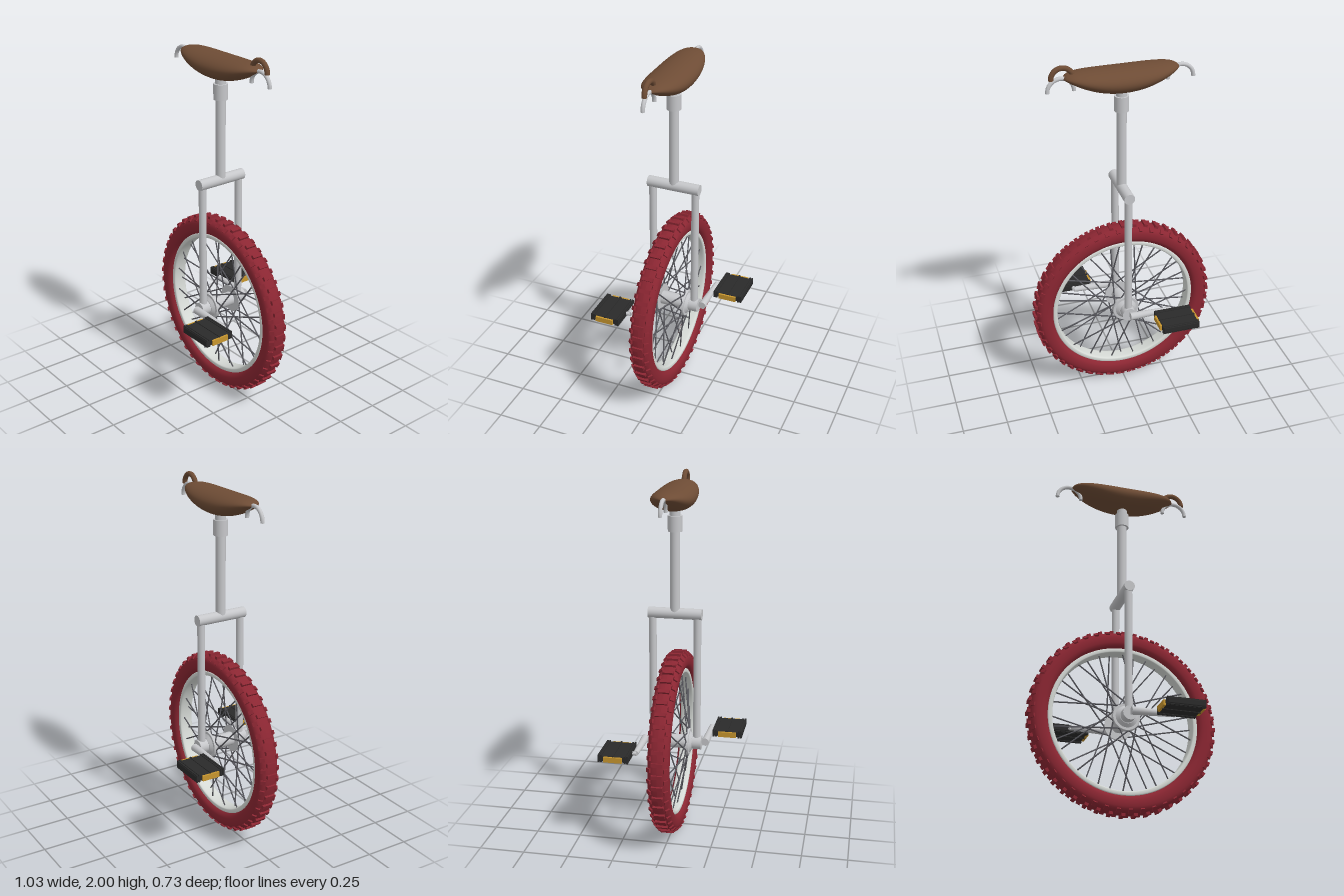
import * as THREE from 'three';
import { mergeVertices } from 'three/addons/utils/BufferGeometryUtils.js';
import { RoundedBoxGeometry } from 'three/addons/geometries/RoundedBoxGeometry.js';

const mat = (name, color) => {
  const m = new THREE.MeshStandardMaterial({ color });
  m.name = name;
  return m;
};

export function createModel() {
  const metal = mat('silver metal', 0xc6c7ca);
  const rimMetal = mat('pale rim metal', 0xd6dad6);
  const spokeMetal = mat('dark spoke steel', 0x5a5a60);
  const rubber = mat('red rubber', 0x8b2632);
  const leather = mat('brown leather', 0x6e4c35);
  const black = mat('black plastic', 0x2a2a2a);
  const gold = mat('gold reflector', 0xc8962e);

  const model = new THREE.Group();
  model.name = 'unicycle';
  const AXLE = 0.518;
  const V = (x, y, z) => new THREE.Vector3(x, y, z);

  function add(parent, name, geometry, material, x = 0, y = 0, z = 0) {
    const mesh = new THREE.Mesh(geometry, material);
    mesh.name = name;
    mesh.position.set(x, y, z);
    parent.add(mesh);
    return mesh;
  }
  // Round bar from a to b, with radius ra at a and rb at b
  function rod(parent, name, a, b, ra, rb, material, sides = 24) {
    const dir = b.clone().sub(a);
    const mesh = add(parent, name, new THREE.CylinderGeometry(rb, ra, dir.length(), sides), material);
    mesh.position.copy(a).addScaledVector(dir, 0.5);
    mesh.quaternion.setFromUnitVectors(V(0, 1, 0), dir.normalize());
    return mesh;
  }
  // Ring around z with a rounded-box section
  function ring(parent, name, radius, halfDepth, halfWidth, power, material) {
    const bulge = (v) => Math.sign(v) * Math.abs(v) ** (2 / power);
    const points = [];
    for (let i = 0; i <= 24; i++) {
      const a = (i / 24) * Math.PI * 2;
      points.push(new THREE.Vector2(radius + halfDepth * bulge(Math.cos(a)), halfWidth * bulge(Math.sin(a))));
    }
    const geometry = new THREE.LatheGeometry(points, 96);
    geometry.rotateX(Math.PI / 2);
    return add(parent, name, geometry, material);
  }

  // Wheel
  const wheel = new THREE.Group();
  wheel.name = 'wheel';
  wheel.position.y = AXLE;
  model.add(wheel);
  ring(wheel, 'tyre', 0.456, 0.05, 0.058, 2.5, rubber);
  ring(wheel, 'rim', 0.4, 0.015, 0.04, 4, rimMetal);

  // Tread: centre blocks with staggered shoulder blocks
  const KNOBS = 48;
  const centreBlock = new THREE.BoxGeometry(0.02, 0.028, 0.06);
  const shoulderBlock = new THREE.BoxGeometry(0.022, 0.018, 0.026);
  for (let i = 0; i < KNOBS; i++) {
    const a = (i / KNOBS) * Math.PI * 2;
    const centre = add(wheel, 'treadBlock', centreBlock, rubber, Math.sin(a) * 0.503, Math.cos(a) * 0.503, 0);
    centre.rotation.z = -a;
    const b = a + Math.PI / KNOBS;
    for (const s of [-1, 1]) {
      const side = add(wheel, 'shoulderBlock', shoulderBlock, rubber, Math.sin(b) * 0.493, Math.cos(b) * 0.493, s * 0.043);
      side.rotation.set(s * 0.75, 0, -b, 'ZYX');
    }
  }

  // Crossed spokes, alternating between the hub flanges
  const SPOKES = 36;
  for (let i = 0; i < SPOKES; i++) {
    const side = i % 2 ? 1 : -1;
    const lean = (i >> 1) % 2 ? 1 : -1;
    const a = (i / SPOKES) * Math.PI * 2;
    const h = a + lean * 1.1;
    rod(wheel, 'spoke', V(Math.cos(h) * 0.066, Math.sin(h) * 0.066, side * 0.078),
      V(Math.cos(a) * 0.392, Math.sin(a) * 0.392, side * 0.012), 0.004, 0.004, spokeMetal, 6);
  }

  // Hub
  rod(wheel, 'hubShell', V(0, 0, -0.152), V(0, 0, 0.152), 0.039, 0.039, metal, 32);
  for (const s of [-1, 1]) {
    rod(wheel, 'hubFlange', V(0, 0, s * 0.068), V(0, 0, s * 0.086), 0.078, 0.074, metal, 32);
    rod(wheel, 'hubCone', V(0, 0, s * 0.086), V(0, 0, s * 0.1), 0.06, 0.042, metal, 32);
  }

  // Fork and seat post
  const frame = new THREE.Group();
  frame.name = 'frame';
  model.add(frame);
  for (const s of [-1, 1]) {
    rod(frame, 'forkLeg', V(0, AXLE, s * 0.124), V(0, 1.262, s * 0.124), 0.021, 0.021, metal);
  }
  rod(frame, 'forkCrown', V(0, 1.264, -0.148), V(0, 1.264, 0.148), 0.03, 0.03, metal);
  rod(frame, 'seatTube', V(0, 1.264, 0), V(0, 1.73, 0), 0.027, 0.027, metal);
  rod(frame, 'seatClamp', V(0, 1.715, 0), V(0, 1.8, 0), 0.039, 0.039, metal);
  rod(frame, 'seatPost', V(0, 1.79, 0), V(0, 1.87, 0), 0.029, 0.029, metal);

  // Saddle: flat top, curved belly, rounded ends
  const saddle = new THREE.Group();
  saddle.name = 'saddle';
  model.add(saddle);
  let pad = new THREE.SphereGeometry(1, 40, 48);
  pad.rotateZ(Math.PI / 2);
  const p = pad.attributes.position;
  for (let i = 0; i < p.count; i++) {
    const u = Math.max(-1, Math.min(1, p.getX(i)));
    const w = Math.abs(u);
    const r = Math.hypot(p.getY(i), p.getZ(i)) || 1;
    const top = 1.925 + 0.034 * Math.sqrt(1 - w ** 7);
    const bottom = 1.925 - 0.098 * (1 - w ** 2);
    const halfWidth = 0.111 * Math.sqrt(1 - w ** 2.5);
    p.setXYZ(i, u * 0.305, (top + bottom) / 2 + ((top - bottom) / 2) * (p.getY(i) / r), halfWidth * (p.getZ(i) / r));
  }
  pad.deleteAttribute('normal');
  pad.deleteAttribute('uv');
  pad = mergeVertices(pad, 1e-5);
  pad.computeVertexNormals();
  add(saddle, 'seatPad', pad, leather);

  // Half-round hoops standing in the x-y plane
  function hoop(name, x, y, radius, tube, material) {
    add(saddle, name, new THREE.TorusGeometry(radius, tube, 12, 28, Math.PI), material, x, y, 0);
    for (const s of [-1, 1]) {
      add(saddle, name + 'End', new THREE.CylinderGeometry(tube, tube, 0.004, 12), material, x + s * radius, y - 0.001, 0);
    }
  }
  hoop('bumper', -0.318, 1.862, 0.069, 0.011, metal);
  hoop('bumper', 0.318, 1.862, 0.069, 0.011, metal);
  hoop('handle', 0.31, 1.929, 0.057, 0.014, leather);

  // Crank and pedal, repeated half a turn around the upright axis
  function crankSet(name) {
    const set = new THREE.Group();
    set.name = name;
    rod(set, 'crankArm', V(0, 0.521, 0.172), V(0.235, 0.524, 0.174), 0.022, 0.015, metal);
    rod(set, 'pedalSpindle', V(0.235, 0.524, 0.17), V(0.235, 0.524, 0.3), 0.011, 0.011, metal, 16);
    const pedal = new THREE.Group();
    pedal.name = 'pedal';
    pedal.position.set(0.236, 0.525, 0.277);
    set.add(pedal);
    add(pedal, 'pedalBody', new RoundedBoxGeometry(0.206, 0.034, 0.172, 2, 0.006), black);
    for (const z of [-0.079, -0.066, 0, 0.066, 0.079]) {
      add(pedal, 'pedalRidge', new THREE.BoxGeometry(0.21, 0.042, 0.009), black, 0, 0, z);
    }
    for (const s of [-1, 1]) {
      add(pedal, 'pedalReflector', new THREE.BoxGeometry(0.014, 0.03, 0.102), gold, s * 0.107, -0.002, 0);
    }
    model.add(set);
    return set;
  }
  crankSet('frontCrank');
  crankSet('backCrank').rotation.y = Math.PI;

  return model;
}
